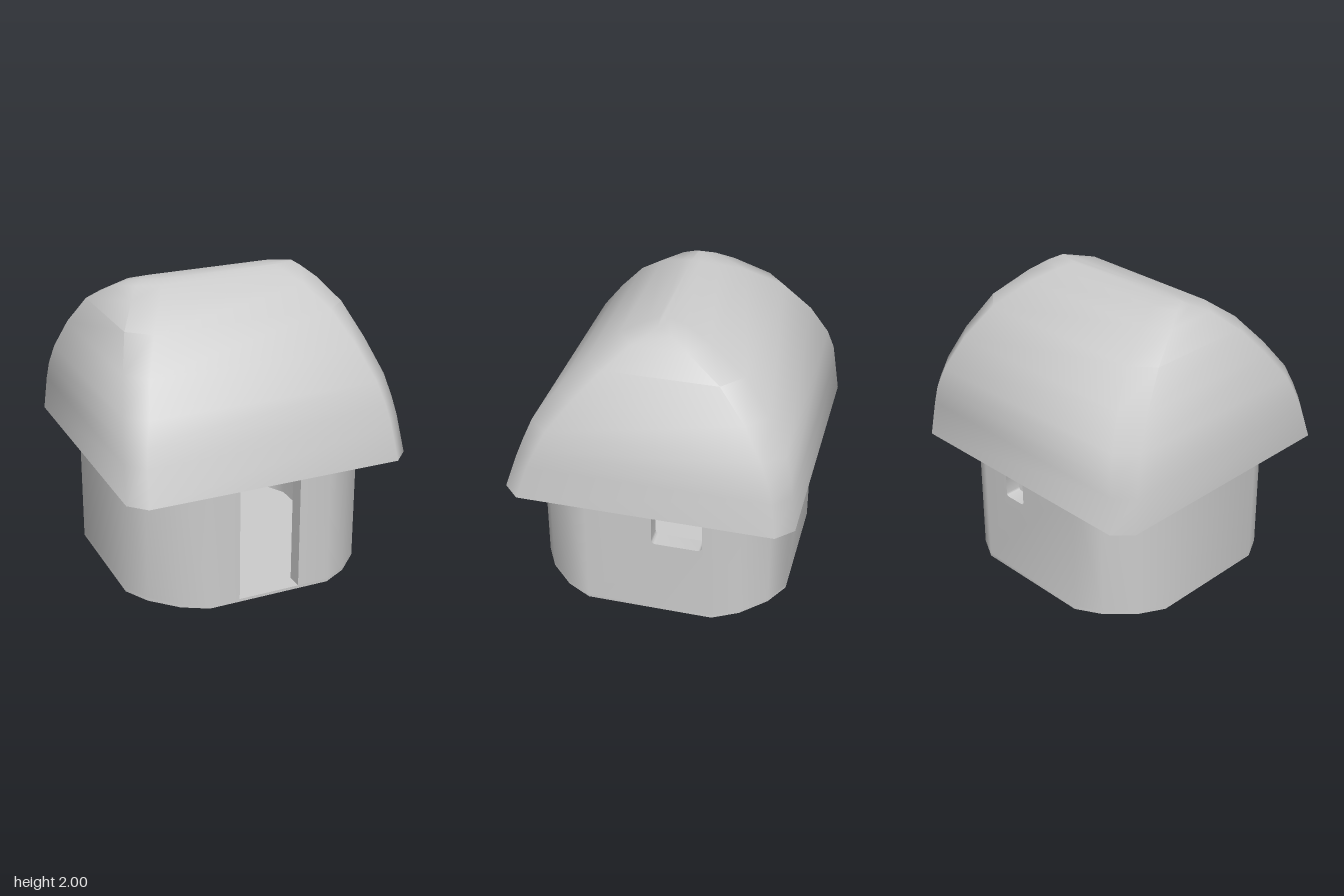
import * as THREE from 'three';
import { mergeGeometries, toCreasedNormals } from 'three/addons/utils/BufferGeometryUtils.js';

const FLAT = 0.43, HALF = 0.857, THICK = 0.11, FLOOR = 0.02, WALL_TOP = 0.95;
const WALL_CREASE = 0.6, ROOF_CREASE = 0.85;

function createMesh(name, geometry) {
  const mesh = new THREE.Mesh(geometry, new THREE.MeshStandardMaterial({ color: 0xcccccc }));
  mesh.name = name;
  return mesh;
}

function box(name, x0, x1, y0, y1, z0, z1) {
  const mesh = createMesh(name, new THREE.BoxGeometry(x1 - x0, y1 - y0, z1 - z0));
  mesh.position.set((x0 + x1) / 2, (y0 + y1) / 2, (z0 + z1) / 2);
  return mesh;
}

// Points around one softly cut plan corner, set inwards by an inset
function corner(quarter, inset) {
  const far = HALF - inset, mid = 0.765 - inset * 0.8, near = 0.6 - inset * 0.4;
  return [[far, FLAT], [mid, near], [near, mid], [FLAT, far]].map(([x, y]) =>
    new THREE.Vector2(x, y).rotateAround(new THREE.Vector2(), quarter * Math.PI / 2));
}

// Plan shape raised from y0 to y1
function raise(points, y0, y1) {
  const g = new THREE.ExtrudeGeometry(new THREE.Shape(points), { depth: y1 - y0, bevelEnabled: false });
  return g.rotateX(-Math.PI / 2).translate(0, y0, 0);
}

function roundedHole(x0, x1, y0, y1, r) {
  const p = new THREE.Path();
  p.absarc(x1 - r, y1 - r, r, 0, Math.PI / 2);
  p.absarc(x0 + r, y1 - r, r, Math.PI / 2, Math.PI);
  p.absarc(x0 + r, y0 + r, r, Math.PI, Math.PI * 1.5);
  p.absarc(x1 - r, y0 + r, r, Math.PI * 1.5, Math.PI * 2);
  p.closePath();
  return p;
}

// Straight wall between two corners, with an optional door notch or window
function panel(angle, { door, hole }) {
  const pts = [[-FLAT, FLOOR]];
  if (door) pts.push([door[0], FLOOR], [door[0], door[2]], [door[1], door[2]], [door[1], FLOOR]);
  pts.push([FLAT, FLOOR], [FLAT, WALL_TOP], [-FLAT, WALL_TOP]);
  const shape = new THREE.Shape(pts.map(([x, y]) => new THREE.Vector2(x, y)));
  if (hole) shape.holes.push(hole);
  const g = new THREE.ExtrudeGeometry(shape, { depth: THICK, bevelEnabled: false, curveSegments: 4 });
  return g.translate(0, 0, HALF - THICK).rotateY(angle);
}

function createWalls() {
  const parts = [
    panel(0, { door: [-0.217, 0.213, 0.9] }),
    panel(Math.PI / 2, { hole: roundedHole(0.02, 0.36, 0.555, 0.82, 0.03) }),
    panel(Math.PI, { hole: roundedHole(-0.22, -0.053, 0.6, 0.77, 0.02) }),
    panel(-Math.PI / 2, {}),
  ];
  for (let q = 0; q < 4; q++) {
    parts.push(raise([...corner(q, 0), ...corner(q, THICK).reverse()], FLOOR, WALL_TOP));
  }
  return createMesh('walls', toCreasedNormals(mergeGeometries(parts), WALL_CREASE));
}

// Roof shell: chamfered rectangles stacked up the outside, nearly square ones on the underside
function createRoof() {
  // y, half width, front z, back z, chamfer along x, chamfer along z
  const levels = [
    [0.86, 0.983, 0.96, -0.963, 0.11, 0.11],
    [1.1, 0.963, 0.88, -0.93, 0.11, 0.11],
    [1.22, 0.948, 0.835, -0.915, 0.115, 0.12],
    [1.36, 0.92, 0.778, -0.87, 0.125, 0.13],
    [1.57, 0.853, 0.62, -0.75, 0.13, 0.13],
    [1.78, 0.77, 0.44, -0.57, 0.15, 0.13],
    [1.92, 0.66, 0.26, -0.32, 0.15, 0.11],
    [1.98, 0.59, 0.1, -0.15, 0.16, 0.06],
    [2.0, 0.54, 0.03, -0.03, 0.14, 0.02],
  ];
  const loop = ([y, w, f, b, cutX, cutZ], scale, cut) => {
    const cx = cutX * cut, cz = cutZ * cut;
    return [
      [-w + cx, f], [w - cx, f], [w, f - cz], [w, b + cz],
      [w - cx, b], [-w + cx, b], [-w, b + cz], [-w, f - cz],
    ].map(([x, z]) => [x * scale, 0.86 + (y - 0.86) * scale, z * scale]);
  };
  const loops = [
    ...levels.map((l) => loop(l, 0.93, 0.05)).reverse(),
    ...levels.map((l) => loop(l, 1, 1)),
  ];
  const n = 8, last = (loops.length - 1) * n, index = [];
  for (let j = 0; j < loops.length - 1; j++) {
    for (let i = 0; i < n; i++) {
      const a = j * n + i, b = j * n + (i + 1) % n;
      index.push(a, b, b + n, a, b + n, a + n);
    }
  }
  for (let i = 1; i < n - 1; i++) {
    index.push(0, i + 1, i, last, last + i, last + i + 1);
  }
  const g = new THREE.BufferGeometry();
  g.setAttribute('position', new THREE.Float32BufferAttribute(loops.flat(2), 3));
  g.setIndex(index);
  return createMesh('roof', toCreasedNormals(g, ROOF_CREASE));
}

// Tall cupboard with three drawers, standing against the back wall
function createCupboard() {
  const group = new THREE.Group();
  group.name = 'cupboard';
  group.add(box('cupboardBody', -0.44, 0, FLOOR, 0.845, -0.75, -0.55));
  for (const y of [0.367, 0.527, 0.687]) {
    group.add(box('drawer', -0.39, -0.05, y, y + 0.108, -0.56, -0.54));
  }
  return group;
}

export function createModel() {
  const hut = new THREE.Group();
  hut.name = 'hut';
  const footprint = [0, 1, 2, 3].flatMap((q) => corner(q, 0));
  hut.add(createMesh('floor', toCreasedNormals(raise(footprint, 0, FLOOR), WALL_CREASE)));
  hut.add(createWalls());
  hut.add(createRoof());
  hut.add(createCupboard());
  // Low bed along the side wall
  hut.add(box('bed', -0.75, -0.44, FLOOR, 0.26, -0.44, 0.29));
  return hut;
}
